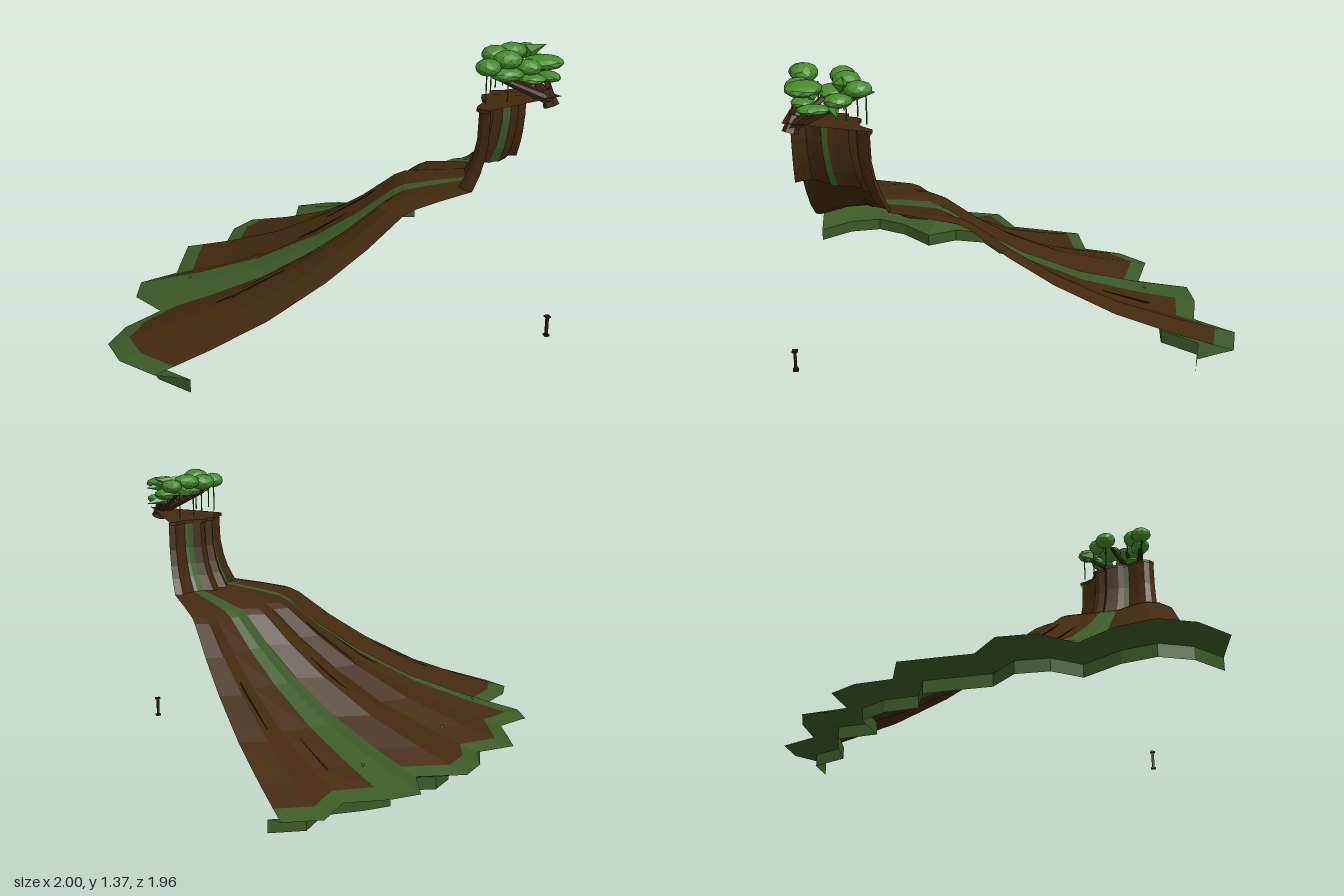
import * as THREE from 'three';

const AX = 0.92, AZ = 0.96; // corner axis of the quarter-round mountain
const mat = (name, color) => {
  const m = new THREE.MeshStandardMaterial({ color, flatShading: true, side: THREE.DoubleSide });
  m.name = name;
  return m;
};

// Rim radius every 5 degrees, from the -x edge to the -z edge
const RIM = [1.77, 1.90, 1.95, 1.89, 1.76, 1.91, 1.945, 1.826, 1.88, 1.95,
  1.82, 1.91, 1.935, 1.77, 1.945, 1.905, 1.82, 1.957, 1.905];
// Slope profile: share of the rim radius, height
const PROFILE = [[0.18, 1.135], [0.182, 1.0], [0.19, 0.92], [0.2, 0.86], [0.219, 0.785], [0.3, 0.755],
  [0.37, 0.725], [0.395, 0.7], [0.479, 0.57], [0.583, 0.435], [0.724, 0.29], [0.865, 0.185], [0.952, 0.13], [1, 0.1]];
const SKIRT = [[1, 0.1], [0.965, 0.085], [0.914, 0.06], [0.914, 0]];

const isStripe = c => c === 4 || c === 5 || c === 13 || c === 14;

function point(col, [f, y]) {
  const i = Math.min(Math.floor(col), RIM.length - 2);
  const rim = THREE.MathUtils.lerp(RIM[i], RIM[i + 1], col - i);
  // green gullies narrow and sink toward the top
  const shift = col === 4 ? 4 * (1 - f) + 0.8 : col === 15 ? -2.5 * (1 - f) - 0.5 : 0;
  const sunk = [5, 6, 14, 15].includes(col) ? 1 - 0.1 * THREE.MathUtils.clamp((1 - f) / 0.8, 0, 1) : 1;
  const a = THREE.MathUtils.degToRad(5 * col + shift), r = rim * f * sunk;
  return new THREE.Vector3(AX - Math.cos(a) * r, y, AZ - Math.sin(a) * r);
}

// Surface through profile rows, split into two materials by a rule
function sheet(rows, pick, materials, name) {
  const pos = [], geo = new THREE.BufferGeometry();
  for (let m = 0; m < materials.length; m++) {
    const start = pos.length / 3;
    for (let r = 0; r < rows.length - 1; r++) {
      for (let c = 0; c < RIM.length - 1; c++) {
        if (pick(r, c) !== m) continue;
        const a = point(c, rows[r]), b = point(c + 1, rows[r]);
        const d = point(c, rows[r + 1]), e = point(c + 1, rows[r + 1]);
        for (const p of [a, b, d, b, e, d]) pos.push(p.x, p.y, p.z);
      }
    }
    geo.addGroup(start, pos.length / 3 - start, m);
  }
  geo.setAttribute('position', new THREE.Float32BufferAttribute(pos, 3));
  geo.computeVertexNormals();
  const mesh = new THREE.Mesh(geo, materials);
  mesh.name = name;
  return mesh;
}

// Tapered rod between two points
function rod(a, b, r0, r1, material, name, sides = 5) {
  const A = new THREE.Vector3(...a), B = new THREE.Vector3(...b), dir = B.clone().sub(A);
  const mesh = new THREE.Mesh(new THREE.CylinderGeometry(r1, r0, dir.length(), sides), material);
  mesh.position.copy(A).add(B).multiplyScalar(0.5);
  mesh.quaternion.setFromUnitVectors(new THREE.Vector3(0, 1, 0), dir.normalize());
  mesh.name = name;
  return mesh;
}

export function createModel() {
  const earth = mat('earth brown', 0x43290f);
  const moss = mat('moss green', 0x3b5a27);
  const leaf = mat('leaf green', 0x468a2c);
  const wood = mat('wood brown', 0x3d2210);
  const dark = mat('dark crack', 0x2a1809);
  const group = new THREE.Group();
  group.name = 'mountainQuarter';

  // Slope with moss gullies and moss rim, and the skirt below
  const last = PROFILE.length - 2;
  group.add(sheet(PROFILE, (r, c) => (r === last || isStripe(c) ? 1 : 0), [earth, moss], 'slope'));
  group.add(sheet(SKIRT, () => 0, [moss], 'skirt'));

  // Shallow cone cap with a small overhang
  group.add(sheet([[0, 1.18], [0.186, 1.138], [0.186, 1.122]], () => 0, [earth], 'cap'));

  // Thin cracks along the slope: column, start and end profile rows
  for (const [col, r0, t0, r1, t1] of [[2.4, 9, 0.2, 10, 0.3], [6.6, 8, 0.2, 9, 0.3], [8.4, 7, 0.6, 8, 0.9],
    [11.5, 8, 0.3, 9, 0.4], [15.6, 10, 0.2, 11, 0.1], [16.7, 8, 0.7, 9, 0.8]]) {
    const at = (r, t) => point(col, PROFILE[r]).lerp(point(col, PROFILE[r + 1]), t).toArray();
    const mid = at(r1, 0);
    group.add(rod(at(r0, t0), mid, 0.001, 0.005, dark, 'crack', 4));
    group.add(rod(mid, at(r1, t1), 0.005, 0.001, dark, 'crack', 4));
  }

  // Little tufts on the slope
  for (const [col, row] of [[5.6, 11], [8.3, 9], [9.6, 11], [14.5, 11]]) {
    const tuft = new THREE.Mesh(new THREE.TetrahedronGeometry(0.011), leaf);
    tuft.position.copy(point(col, PROFILE[row]));
    tuft.name = 'tuft';
    group.add(tuft);
  }

  // Tree: stump, spreading branches, hanging vines
  const tree = new THREE.Group();
  tree.name = 'tree';
  group.add(tree);
  tree.add(rod([0.89, 1.13, 0.93], [0.87, 1.2, 0.91], 0.035, 0.022, wood, 'trunk', 6));
  for (const tip of [[0.63, 1.27, 0.9], [0.7, 1.27, 0.75], [0.86, 1.27, 0.65], [0.78, 1.29, 0.85], [0.91, 1.25, 0.8]]) {
    tree.add(rod([0.89, 1.15, 0.93], tip, 0.022, 0.009, wood, 'branch'));
  }
  for (const [x, z, y] of [[0.6, 0.9, 1.15], [0.65, 0.83, 1.18], [0.69, 0.92, 1.16], [0.72, 0.72, 1.17],
    [0.78, 0.66, 1.16], [0.86, 0.62, 1.15], [0.9, 0.7, 1.18]]) {
    tree.add(rod([x, y, z], [x, 1.28, z], 0.003, 0.003, moss, 'vine', 4));
  }

  // Flattened leaf clumps: centre, radii
  const clumps = [
    [0.605, 1.31, 0.9, 0.055, 0.038, 0.055], [0.7, 1.332, 0.88, 0.065, 0.042, 0.06],
    [0.69, 1.275, 0.91, 0.075, 0.03, 0.05], [0.71, 1.32, 0.72, 0.06, 0.04, 0.055],
    [0.8, 1.325, 0.7, 0.065, 0.038, 0.06], [0.89, 1.31, 0.65, 0.05, 0.035, 0.06],
    [0.9, 1.265, 0.73, 0.055, 0.03, 0.06], [0.79, 1.275, 0.76, 0.08, 0.03, 0.06],
    [0.87, 1.31, 0.87, 0.09, 0.032, 0.08], [0.79, 1.3, 0.9, 0.06, 0.035, 0.055],
    [0.92, 1.235, 0.83, 0.045, 0.022, 0.07], [0.82, 1.24, 0.88, 0.06, 0.022, 0.05]];
  clumps.forEach(([x, y, z, a, b, c], i) => {
    const geo = new THREE.IcosahedronGeometry(1, 1);
    geo.rotateY(i * 1.3).rotateX(i * 0.7).scale(a, b, c);
    const clump = new THREE.Mesh(geo, leaf);
    clump.position.set(x, y, z);
    clump.name = 'leafClump';
    tree.add(clump);
  });
  // Pointed leaf tips
  for (const [a, b] of [[[0.86, 1.32, 0.72], [0.96, 1.345, 0.7]], [[0.88, 1.245, 0.76], [0.995, 1.22, 0.73]],
    [[0.88, 1.3, 0.84], [0.97, 1.29, 0.82]], [[0.86, 1.29, 0.66], [0.8, 1.27, 0.585]]]) {
    tree.add(rod(a, b, 0.035, 0.001, leaf, 'leafTip', 4));
  }

  // Small spool-shaped post low on the axis
  for (const [w, h, y] of [[0.012, 0.09, 0.115], [0.024, 0.008, 0.16], [0.024, 0.008, 0.07]]) {
    const part = new THREE.Mesh(new THREE.BoxGeometry(w, h, w), dark);
    part.position.set(AX, y, AZ);
    part.name = 'axisPost';
    group.add(part);
  }
  return group;
}
